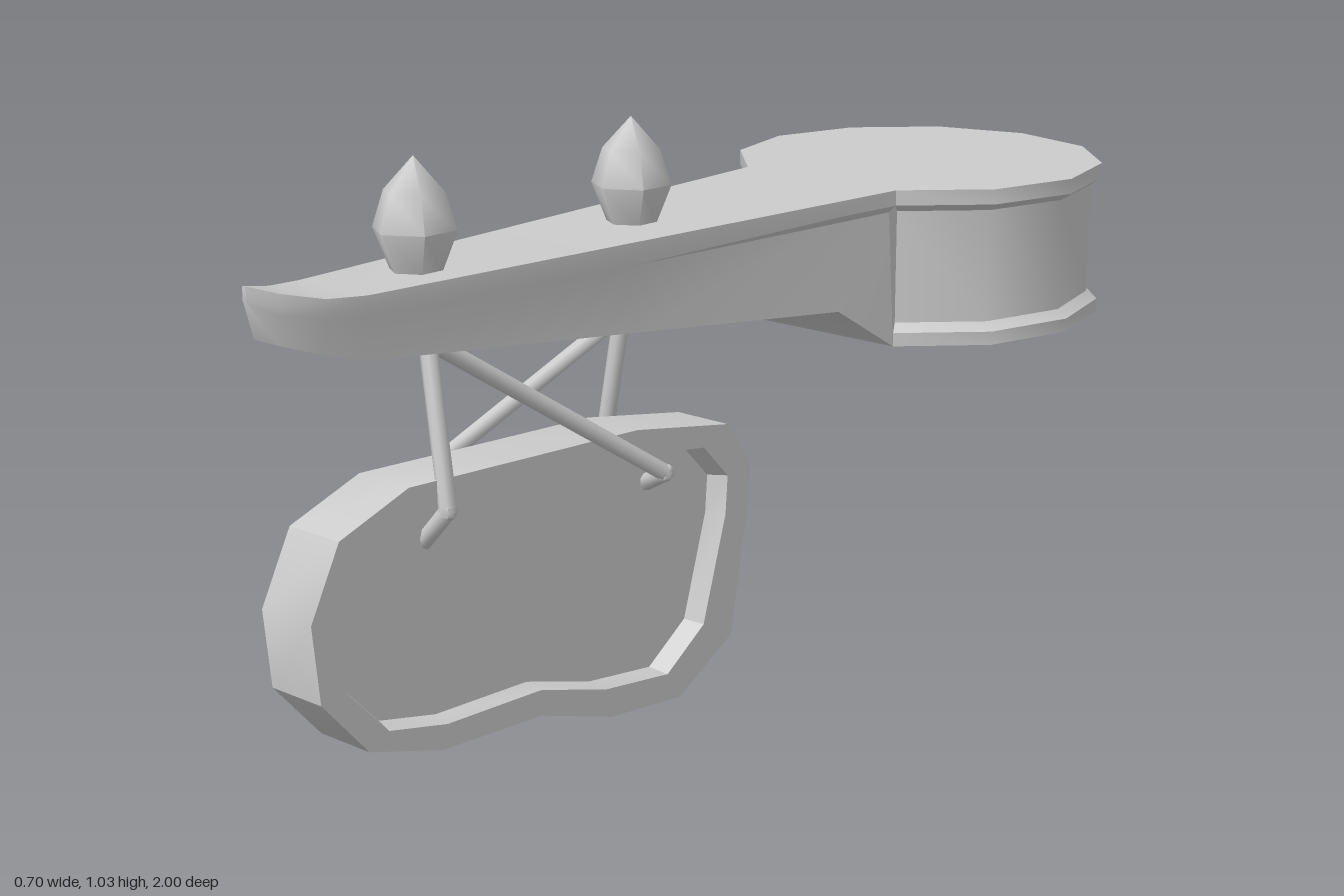
import * as THREE from 'three';
import { toCreasedNormals } from 'three/addons/utils/BufferGeometryUtils.js';

const material = new THREE.MeshStandardMaterial({ color: 0xcccccc, side: THREE.DoubleSide });
const V = (x, y, z) => new THREE.Vector3(x, y, z);

function part(name, geometry, crease = 0.6) {
  const mesh = new THREE.Mesh(toCreasedNormals(geometry, crease), material);
  mesh.name = name;
  return mesh;
}

// Skin a series of closed rings that have equal point counts
function loft(rings) {
  const n = rings[0].length, index = [];
  for (let i = 0; i < rings.length - 1; i++) {
    for (let j = 0; j < n; j++) {
      const a = i * n + j, b = i * n + (j + 1) % n;
      index.push(a, b, a + n, b, b + n, a + n);
    }
  }
  const geometry = new THREE.BufferGeometry().setFromPoints(rings.flat());
  geometry.setIndex(index);
  return geometry;
}

// Round rod between two points
function rod(name, a, b, r = 0.015) {
  const dir = b.clone().sub(a);
  const mesh = part(name, new THREE.CylinderGeometry(r, r, dir.length(), 8), 0.9);
  mesh.position.copy(a).addScaledVector(dir, 0.5);
  mesh.quaternion.setFromUnitVectors(V(0, 1, 0), dir.normalize());
  return mesh;
}

// Drum with rims, leaving out the wedge that the beam fills
function drum() {
  const profile = [[0, 0.56], [0.35, 0.56], [0.35, 0.585], [0.33, 0.6],
    [0.33, 0.808], [0.35, 0.822], [0.35, 0.85], [0, 0.85]].map(p => new THREE.Vector2(...p));
  const mesh = part('drum', new THREE.LatheGeometry(profile, 10, Math.PI / 6, Math.PI * 5 / 3));
  mesh.position.z = -0.65;
  return mesh;
}

// Tapered beam: z, top half width, bottom half width, inset half width, top y, lip y, bottom y
function beam() {
  const rings = [
    [-0.65, 0, 0, 0, 0.85, 0.822, 0.56],
    [-0.347, 0.175, 0.175, 0.16, 0.85, 0.822, 0.56],
    [-0.2, 0.163, 0.163, 0.15, 0.85, 0.822, 0.65],
    [0.3, 0.122, 0.12, 0.12, 0.85, 0.825, 0.698],
    [0.83, 0.078, 0.07, 0.077, 0.85, 0.83, 0.747],
    [0.9, 0.066, 0.052, 0.062, 0.855, 0.835, 0.767],
    [0.965, 0.038, 0.026, 0.034, 0.87, 0.85, 0.79],
    [1, 0.004, 0.004, 0.004, 0.882, 0.872, 0.86],
    [1, 0, 0, 0, 0.88, 0.88, 0.88],
  ].map(([z, w, wb, wi, yt, yl, yb]) => [
    V(-wb, yb, z), V(wb, yb, z), V(wi, yl - 0.014, z), V(w, yl, z),
    V(w, yt, z), V(-w, yt, z), V(-w, yl, z), V(-wi, yl - 0.014, z),
  ]);
  return part('beam', loft(rings), 0.5);
}

// Framed hanging board with a recessed panel on both sides, slightly askew; outlines as [z, y]
function board() {
  const outer = [[0.943, 0.348], [0.884, 0.47], [0.745, 0.525], [0.51, 0.52], [0.25, 0.515],
    [0.03, 0.48], [-0.027, 0.4], [-0.02, 0.316], [0.02, 0.086], [0.15, 0.003],
    [0.316, 0.014], [0.477, 0.064], [0.69, 0.068], [0.84, 0.11], [0.93, 0.214]];
  const inner = [[0.89, 0.342], [0.836, 0.434], [0.73, 0.482], [0.51, 0.475], [0.25, 0.468],
    [0.09, 0.45], [0.03, 0.386], [0.035, 0.316], [0.09, 0.123], [0.18, 0.054],
    [0.327, 0.068], [0.477, 0.11], [0.68, 0.11], [0.8, 0.134], [0.88, 0.22]];
  const ring = (points, x, scale = 1) => points.map(([z, y]) => {
    const zz = 0.46 + (z - 0.46) * scale, yy = 0.28 + (y - 0.28) * scale;
    return V(x + 0.045 - 0.055 * zz, yy, zz);
  });
  const half = 0.058, panel = 0.022;
  return part('hangingBoard', loft([
    ring(inner, panel, 0), ring(inner, panel, 0.97), ring(inner, half), ring(outer, half),
    ring(outer, -half), ring(inner, -half), ring(inner, -panel, 0.97), ring(inner, -panel, 0),
  ]));
}

// One bracket: two bent legs from a shared top point
function bracket(name, top, legs) {
  const group = new THREE.Group();
  group.name = name;
  for (const [knee, foot] of legs) {
    const joint = part('bracketJoint', new THREE.SphereGeometry(0.016, 8, 6), 1);
    joint.position.copy(knee);
    group.add(rod('bracketLeg', top, knee), rod('bracketFoot', knee, foot), joint);
  }
  return group;
}

export function createModel() {
  const model = new THREE.Group();
  model.name = 'hangingSign';
  model.add(drum(), beam(), board());

  // Six-sided pointed finials
  const bud = [[0, 0.845], [0.042, 0.845], [0.07, 0.915], [0.05, 0.975], [0, 1.03]]
    .map(p => new THREE.Vector2(...p));
  for (const z of [0.165, 0.66]) {
    const finial = part('finial', new THREE.LatheGeometry(bud, 6), 1.1);
    finial.position.z = z;
    model.add(finial);
  }

  // Brackets on either face of the board
  model.add(
    bracket('leftBracket', V(0.01, 0.735, 0.65), [
      [V(0.08, 0.475, 0.68), V(0.02, 0.41, 0.68)],
      [V(0.125, 0.44, 0.22), V(0.05, 0.4, 0.19)],
    ]),
    bracket('rightBracket', V(-0.02, 0.685, 0.17), [
      [V(-0.05, 0.48, 0.18), V(0.02, 0.41, 0.18)],
      [V(-0.09, 0.455, 0.63), V(-0.01, 0.405, 0.67)],
    ]),
  );
  return model;
}
